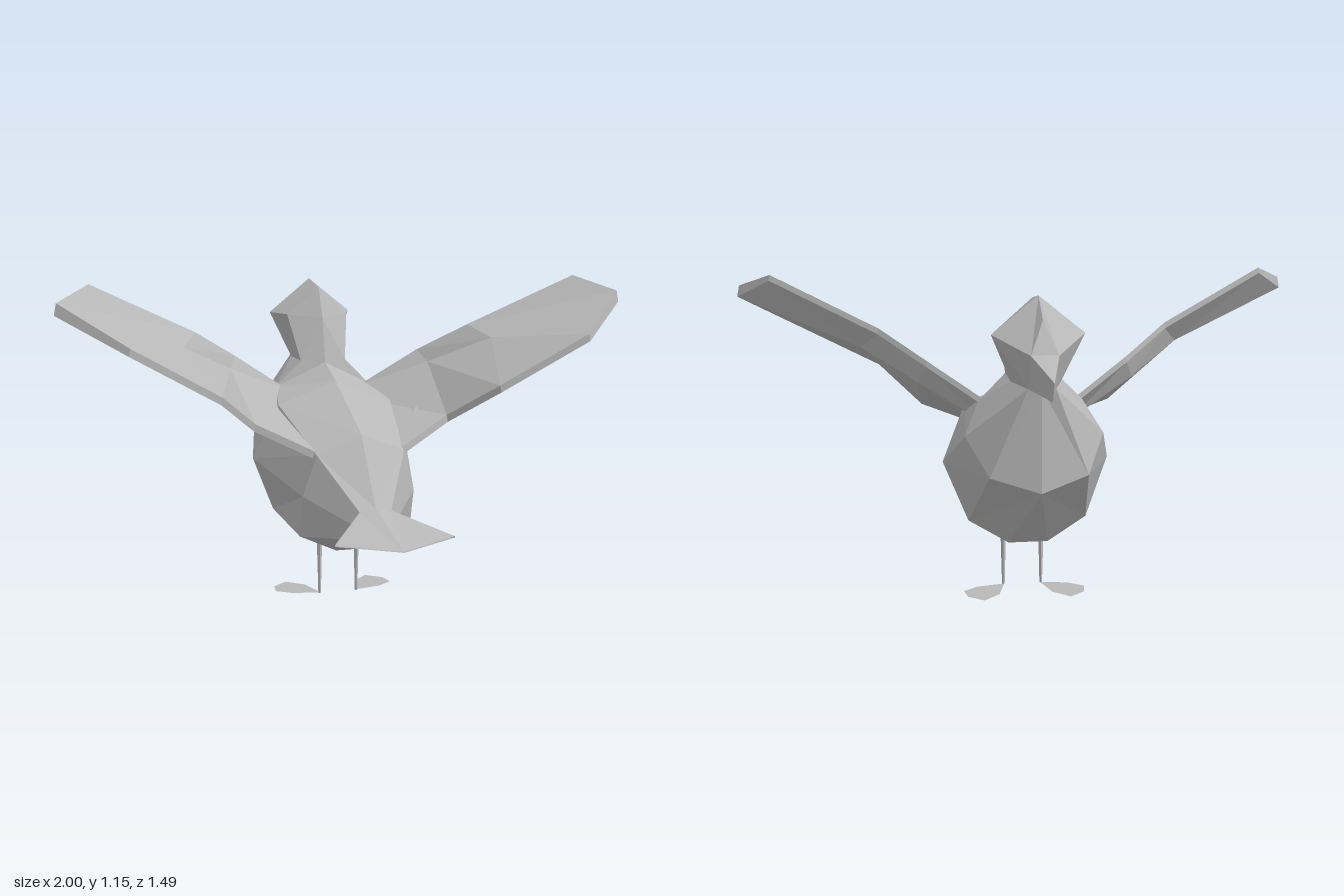
import * as THREE from 'three';

const plumage = new THREE.MeshStandardMaterial({ color: 0xb8b8b8, flatShading: true, side: THREE.DoubleSide });
plumage.name = 'plumage grey';

// Skins rows of points (+x side) into flat facets, on one or both sides of x = 0.
function skin(name, rows, sides = [1, -1]) {
  const pos = [];
  const tri = (a, b, c, s) => {
    const [p, q, r] = (s > 0 ? [a, b, c] : [a, c, b]).map(v => new THREE.Vector3(v[0] * s, v[1], v[2]));
    const area = q.clone().sub(p).cross(r.clone().sub(p)).length();
    if (area > 1e-7) pos.push(...p.toArray(), ...q.toArray(), ...r.toArray());
  };
  for (const s of sides)
    for (let i = 0; i < rows.length - 1; i++)
      for (let j = 0; j < rows[i].length - 1; j++) {
        const a = rows[i][j], b = rows[i + 1][j], c = rows[i + 1][j + 1], d = rows[i][j + 1];
        tri(a, b, c, s);
        tri(a, c, d, s);
      }
  const geo = new THREE.BufferGeometry();
  geo.setAttribute('position', new THREE.Float32BufferAttribute(pos, 3));
  geo.computeVertexNormals();
  const mesh = new THREE.Mesh(geo, plumage);
  mesh.name = name;
  return mesh;
}

export function createModel() {
  const bird = new THREE.Group();
  bird.name = 'bird';

  // Body: lines from the back down to the belly, each running tail to neck
  bird.add(skin('body', [
    [[0, 0.42, 0.45], [0, 0.64, 0.29], [0, 0.78, -0.03], [0, 0.83, -0.17], [0, 0.83, -0.17]],
    [[0.055, 0.41, 0.45], [0.155, 0.575, 0.28], [0.21, 0.70, -0.04], [0.18, 0.74, -0.21], [0.085, 0.835, -0.2]],
    [[0.065, 0.36, 0.45], [0.2, 0.43, 0.26], [0.295, 0.5, -0.09], [0.235, 0.645, -0.32], [0.085, 0.835, -0.35]],
    [[0.06, 0.315, 0.45], [0.2, 0.28, 0.22], [0.21, 0.295, -0.14], [0.165, 0.53, -0.44], [0.045, 0.836, -0.49]],
    [[0.03, 0.29, 0.44], [0.07, 0.22, 0.22], [0.07, 0.215, -0.165], [0, 0.485, -0.49], [0, 0.836, -0.49]],
    [[0, 0.29, 0.44], [0, 0.22, 0.22], [0, 0.215, -0.165], [0, 0.485, -0.49], [0, 0.836, -0.49]],
  ]));

  // Tail fan
  bird.add(skin('tail', [
    [[0, 0.352, 0.745], [0, 0.42, 0.45]],
    [[0.2, 0.365, 0.66], [0.055, 0.41, 0.45]],
    [[0.2, 0.36, 0.66], [0.06, 0.315, 0.45]],
    [[0, 0.348, 0.745], [0, 0.29, 0.44]],
  ]));

  // Head and neck: crown, cheek and neck-base lines, back to front
  bird.add(skin('head', [
    [[0, 1.1, -0.26], [0, 1.1, -0.26], [0, 1.125, -0.4], [0, 1.06, -0.5], [0, 1.06, -0.5]],
    [[0, 0.99, -0.205], [0.115, 1, -0.285], [0.155, 1, -0.4], [0.045, 0.955, -0.555], [0, 0.955, -0.555]],
    [[0, 0.83, -0.17], [0.085, 0.835, -0.2], [0.085, 0.835, -0.35], [0.045, 0.836, -0.49], [0, 0.836, -0.49]],
  ]));

  // Beak
  const beakTop = [0, 0.905, -0.745], beakChin = [0, 0.84, -0.715];
  bird.add(skin('beak', [
    [[0, 0.957, -0.555], beakTop],
    [[0.045, 0.955, -0.555], beakTop],
    [[0.045, 0.836, -0.49], beakChin],
    [[0, 0.836, -0.49], beakChin],
  ]));

  // Wings: underside lines from root to tip, thickened upwards and closed at the tip
  const lines = [
    [[0.14, 0.71, -0.21], [0.35, 0.85, -0.14], [0.51, 0.95, -0.035], [0.88, 1.13, 0.065]],
    [[0.15, 0.65, -0.14], [0.38, 0.79, -0.09], [0.57, 0.89, 0.06], [1.0, 1.06, 0.19]],
    [[0.12, 0.54, 0.28], [0.35, 0.65, 0.19], [0.49, 0.77, 0.335], [0.79, 0.945, 0.395]],
  ];
  const thickness = [0.02, 0.04, 0.025];
  const wingRow = (k, up) => {
    const lift = (p, f) => [p[0] - 0.2 * f * thickness[k], p[1] + f * thickness[k], p[2]];
    return [...lines[k].map(p => lift(p, up)), lift(lines[k][3], 0.5)];
  };
  const wingRows = [[0, 1], [1, 1], [2, 1], [2, 0], [1, 0], [0, 0], [0, 1]].map(([k, up]) => wingRow(k, up));
  bird.add(skin('leftWing', wingRows, [1]), skin('rightWing', wingRows, [-1]));

  // Legs and flat webbed feet, turned outwards
  for (const [side, s] of [['left', 1], ['right', -1]]) {
    const leg = new THREE.Mesh(new THREE.CylinderGeometry(0.012, 0.005, 0.28, 4), plumage);
    leg.position.set(0.07 * s, 0.14, 0);
    leg.name = side + 'Leg';
    const web = [[0, 0], [0.1, 0.02], [0.155, 0.06], [0.145, 0.12], [0.09, 0.165], [0.03, 0.11]];
    const foot = new THREE.Mesh(
      new THREE.ShapeGeometry(new THREE.Shape(web.map(([x, y]) => new THREE.Vector2(x * s, y)))), plumage);
    foot.rotation.x = -Math.PI / 2;
    foot.position.set(0.067 * s, 0.001, 0);
    foot.name = side + 'Foot';
    bird.add(leg, foot);
  }
  return bird;
}
